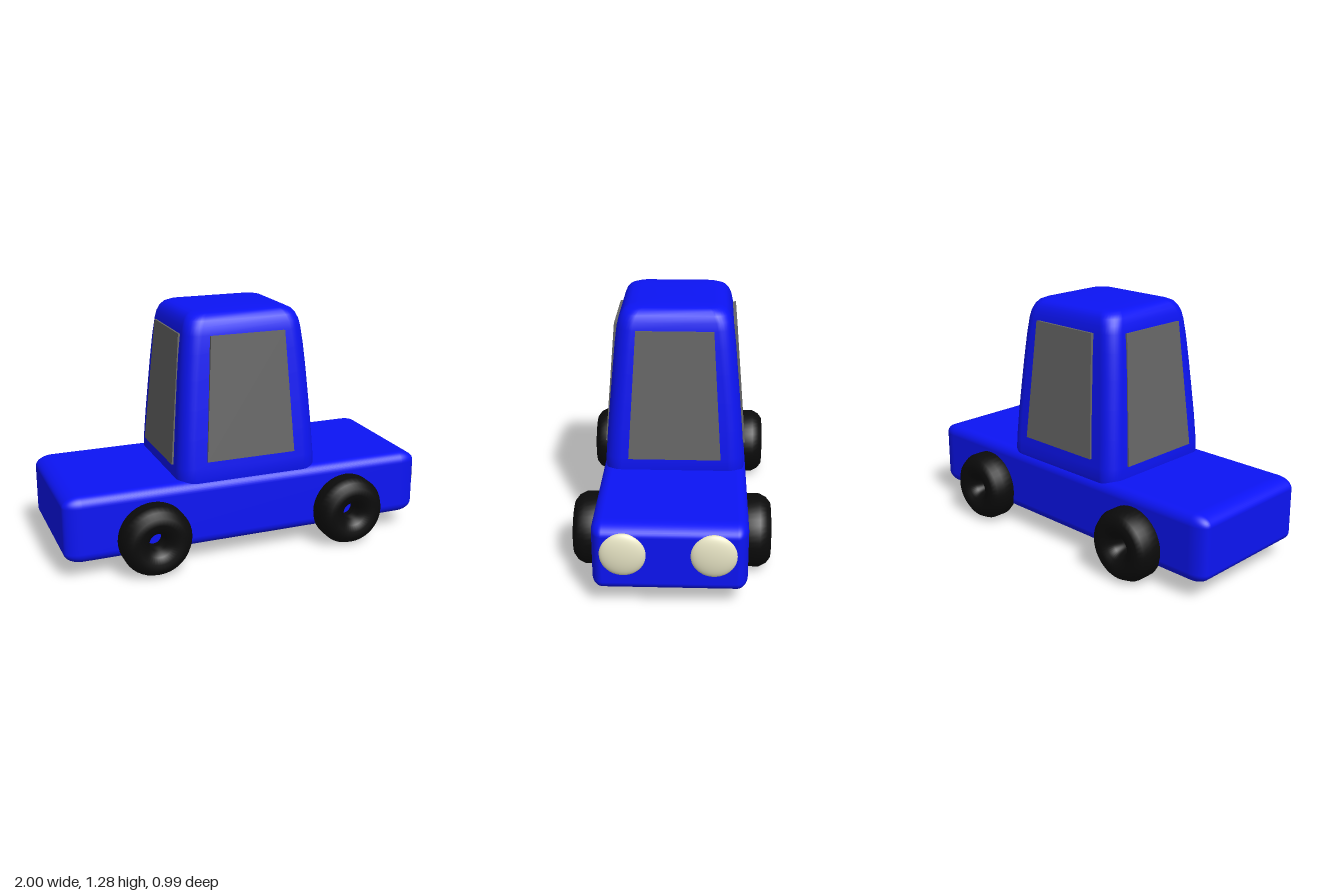
import * as THREE from 'three';
import { RoundedBoxGeometry } from 'three/addons/geometries/RoundedBoxGeometry.js';

const mat = (color, side = THREE.FrontSide) => new THREE.MeshStandardMaterial({ color, side });
const blue = mat(0x0c14f5), glass = mat(0x666666), rubber = mat(0x0b0b0b), cream = mat(0xe8e5c5);

function add(parent, name, geometry, material, x = 0, y = 0, z = 0) {
  const m = new THREE.Mesh(geometry, material);
  m.name = name;
  m.position.set(x, y, z);
  parent.add(m);
  return m;
}

// Smooth skin over stacked rounded rectangles: [y, halfX, halfZ, cornerRadius]
function loft(levels, cornerSteps = 8) {
  const pos = [], idx = [], n = 4 * (cornerSteps + 1);
  for (const [y, hx, hz, r] of levels) {
    for (let c = 0; c < 4; c++) {
      const sx = c === 0 || c === 3 ? 1 : -1, sz = c < 2 ? 1 : -1;
      for (let i = 0; i <= cornerSteps; i++) {
        const a = (c + i / cornerSteps) * Math.PI / 2;
        pos.push(sx * (hx - r) + r * Math.cos(a), y, sz * (hz - r) + r * Math.sin(a));
      }
    }
  }
  for (let l = 0; l < levels.length - 1; l++) {
    for (let i = 0; i < n; i++) {
      const a = l * n + i, b = l * n + (i + 1) % n;
      idx.push(a, a + n, b, b, a + n, b + n);
    }
  }
  // Top cap
  const top = (levels.length - 1) * n, centre = pos.length / 3;
  pos.push(0, levels[levels.length - 1][0], 0);
  for (let i = 0; i < n; i++) idx.push(top + i, centre, top + (i + 1) % n);
  const g = new THREE.BufferGeometry();
  g.setAttribute('position', new THREE.Float32BufferAttribute(pos, 3));
  g.setIndex(idx);
  g.computeVertexNormals();
  return g;
}

// Trapezoid pane standing on y0..y1, leaning from distance d0 to d1, facing +z
function paneGeometry(y0, y1, half0, half1, d0, d1) {
  const lean = Math.atan2(d0 - d1, y1 - y0), h = Math.hypot(d0 - d1, y1 - y0);
  const shape = new THREE.Shape([
    new THREE.Vector2(-half0, 0), new THREE.Vector2(half0, 0),
    new THREE.Vector2(half1, h), new THREE.Vector2(-half1, h),
  ]);
  const g = new THREE.ExtrudeGeometry(shape, { depth: 0.03, bevelEnabled: false });
  g.translate(0, 0, -0.03);
  g.rotateX(-lean);
  g.translate(0, y0, d0);
  return g;
}

export function createModel() {
  const car = new THREE.Group();
  car.name = 'car';

  // Lower body, with longer rounding towards the two ends
  const body = new RoundedBoxGeometry(1.97 / 1.7, 0.35, 0.745, 6, 0.055);
  body.scale(1.7, 1, 1);
  add(car, 'body', body, blue, -0.015, 0.262, -0.003);

  // Tall tapering cabin with a softly rounded roof
  const cabin = new THREE.Group();
  cabin.name = 'cabin';
  cabin.position.set(-0.013, 0, -0.005);
  car.add(cabin);
  add(cabin, 'cabinShell', loft([
    [0.40, 0.375, 0.350, 0.08], [0.44, 0.383, 0.359, 0.085], [0.50, 0.381, 0.357, 0.085],
    [0.65, 0.370, 0.345, 0.08], [0.80, 0.358, 0.332, 0.08], [0.95, 0.346, 0.318, 0.08],
    [1.08, 0.333, 0.306, 0.08], [1.17, 0.321, 0.295, 0.08], [1.21, 0.313, 0.286, 0.08],
    [1.24, 0.300, 0.273, 0.08], [1.26, 0.283, 0.256, 0.075], [1.271, 0.260, 0.232, 0.07],
    [1.275, 0.225, 0.195, 0.06], [1.278, 0.12, 0.1, 0.04],
  ]), blue);

  // Four windows: two on the sides, two across the ends
  const sidePane = paneGeometry(0.535, 1.17, 0.24, 0.20, 0.365, 0.312);
  const endPane = paneGeometry(0.50, 1.17, 0.237, 0.195, 0.391, 0.332);
  ['leftSideWindow', 'windshield', 'rightSideWindow', 'rearWindow'].forEach((name, i) => {
    add(cabin, name, i % 2 ? endPane : sidePane, glass).rotation.y = i * Math.PI / 2;
  });

  // Chunky tyres with a narrow open centre
  const half = [[0.035, 0.012], [0.045, 0.05], [0.07, 0.08], [0.105, 0.093],
    [0.14, 0.091], [0.167, 0.07], [0.185, 0.035]];
  const ring = [...half, ...half.map(([r, z]) => [r, -z]).reverse(), half[0]];
  // Run the profile so the faces point outwards
  const tyre = new THREE.LatheGeometry(ring.reverse().map(([r, z]) => new THREE.Vector2(r, z)), 40);
  tyre.rotateX(Math.PI / 2);
  for (const [end, x] of [['rear', -0.552], ['front', 0.527]]) {
    for (const s of [1, -1]) {
      add(car, end + (s > 0 ? 'Near' : 'Far') + 'Wheel', tyre, rubber, x, 0.185, s * 0.403 - 0.002);
    }
  }

  // Round flattened headlights
  const lamp = new THREE.SphereGeometry(0.111, 32, 20);
  lamp.scale(0.3, 1, 1);
  for (const s of [1, -1]) {
    add(car, s > 0 ? 'nearHeadlight' : 'farHeadlight', lamp, cream, 0.966, 0.295, s * 0.214 + 0.002);
  }

  return car;
}
